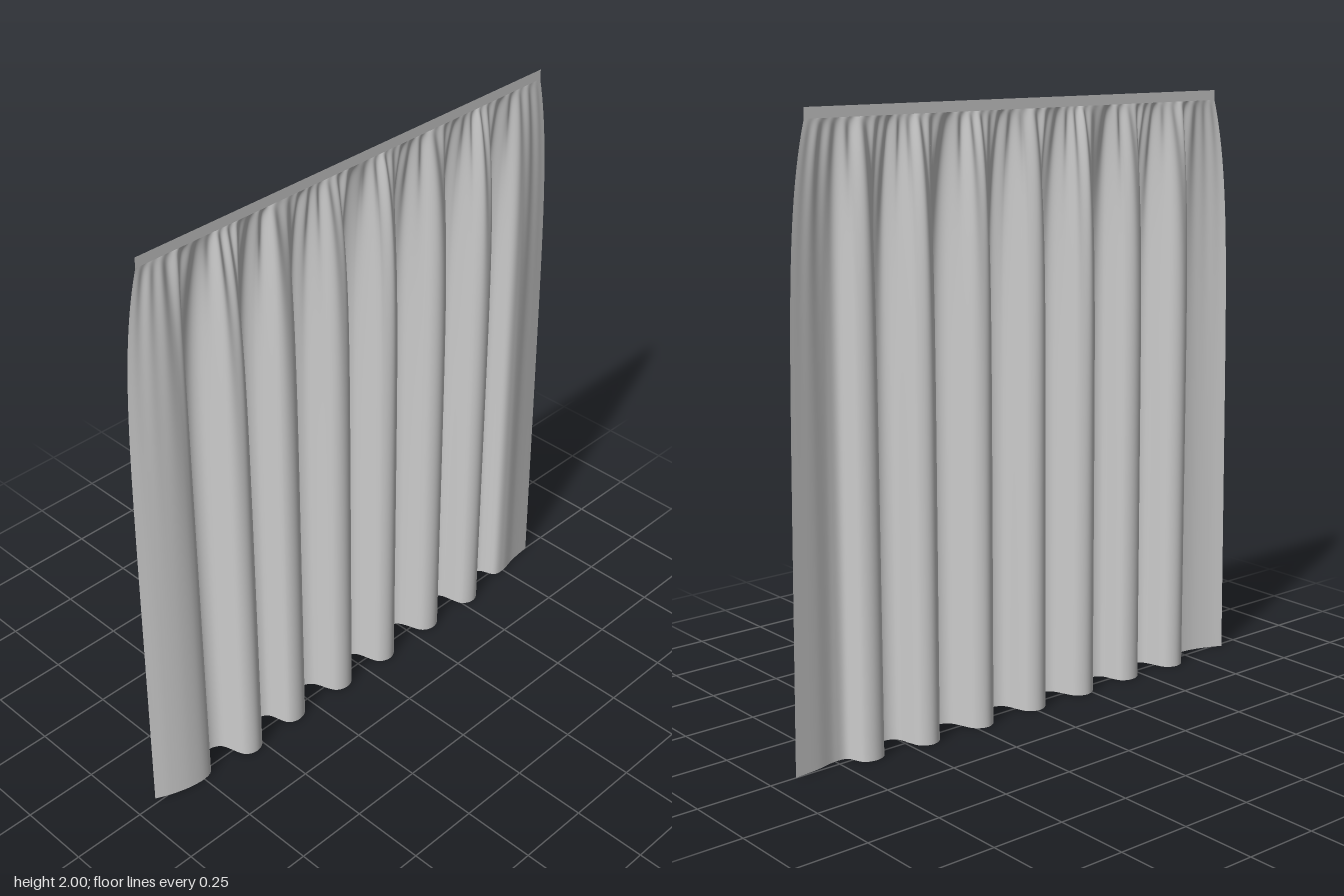
import * as THREE from 'three';

const TOP = 1.967, LEFT = -0.84, RIGHT = 0.82;

// fold crests as [x, z], alternating back and front
const CRESTS = [
  [-0.65, -0.06], [-0.54, 0.06], [-0.44, -0.053], [-0.335, 0.052], [-0.225, -0.06],
  [-0.11, 0.055], [-0.01, -0.062], [0.1, 0.06], [0.215, -0.065], [0.33, 0.056],
  [0.435, -0.064], [0.54, 0.06], [0.645, -0.05],
];

// plan of the hem: flat ends with rounded, steep-sided folds between
function hemCurve() {
  const pts = [[-0.92, -0.018], [-0.87, 0.005], [-0.8, 0.026], [-0.74, 0.03], [-0.71, 0.018]];
  for (const [x, z] of CRESTS) pts.push([x - 0.038, z * 0.72], [x, z], [x + 0.038, z * 0.72]);
  pts.push([0.71, 0.018], [0.75, 0.024], [0.82, 0.01], [0.91, 0]);
  return new THREE.CatmullRomCurve3(pts.map(([x, z]) => new THREE.Vector3(x, 0, z)), false, 'centripetal');
}

// fine irregular gathers, strongest just under the header
function gather(u, depth) {
  const fade = (1 - Math.exp(-depth * 45)) * Math.exp(-depth * 3.2);
  const phase = u * Math.PI * 2;
  const wave = Math.sin(phase * 38 + 1.6 * Math.sin(phase * 5)) * (0.75 + 0.25 * Math.sin(phase * 11 + 1))
    + 0.4 * Math.sin(phase * 23 + 2);
  return 0.008 * fade * wave * Math.min(1, u * 20, (1 - u) * 20);
}

function clothGeometry(cols, rows) {
  const hem = hemCurve().getSpacedPoints(cols);
  const pos = [], index = [];
  for (let j = 0; j <= rows; j++) {
    const s = Math.pow(j / rows, 2);            // rows crowd toward the top
    const depth = s * TOP;
    const open = 1 - Math.pow(1 - s, 8.5);      // folds open quickly below the header
    const spread = 0.65 * open + 0.35 * s;
    for (let i = 0; i <= cols; i++) {
      const u = i / cols;
      const x = THREE.MathUtils.lerp(THREE.MathUtils.lerp(LEFT, RIGHT, u), hem[i].x, spread);
      pos.push(x, TOP - depth, hem[i].z * open + gather(u, depth));
      if (i < cols && j < rows) {
        const a = j * (cols + 1) + i, b = a + cols + 1;
        index.push(a, b, a + 1, b, b + 1, a + 1);
      }
    }
  }
  const geo = new THREE.BufferGeometry();
  geo.setAttribute('position', new THREE.Float32BufferAttribute(pos, 3));
  geo.setIndex(index);
  geo.computeVertexNormals();
  return geo;
}

export function createModel() {
  const group = new THREE.Group();
  group.name = 'curtain';
  const material = new THREE.MeshStandardMaterial({ color: 0xcccccc, side: THREE.DoubleSide });

  // hanging pleated cloth
  const cloth = new THREE.Mesh(clothGeometry(480, 60), material);
  cloth.name = 'cloth';

  // flat header tape the cloth is gathered onto
  const header = new THREE.Mesh(new THREE.PlaneGeometry(RIGHT - LEFT, 2 - TOP), material);
  header.name = 'headerBand';
  header.position.set((LEFT + RIGHT) / 2, (2 + TOP) / 2, 0);

  group.add(cloth, header);
  return group;
}
